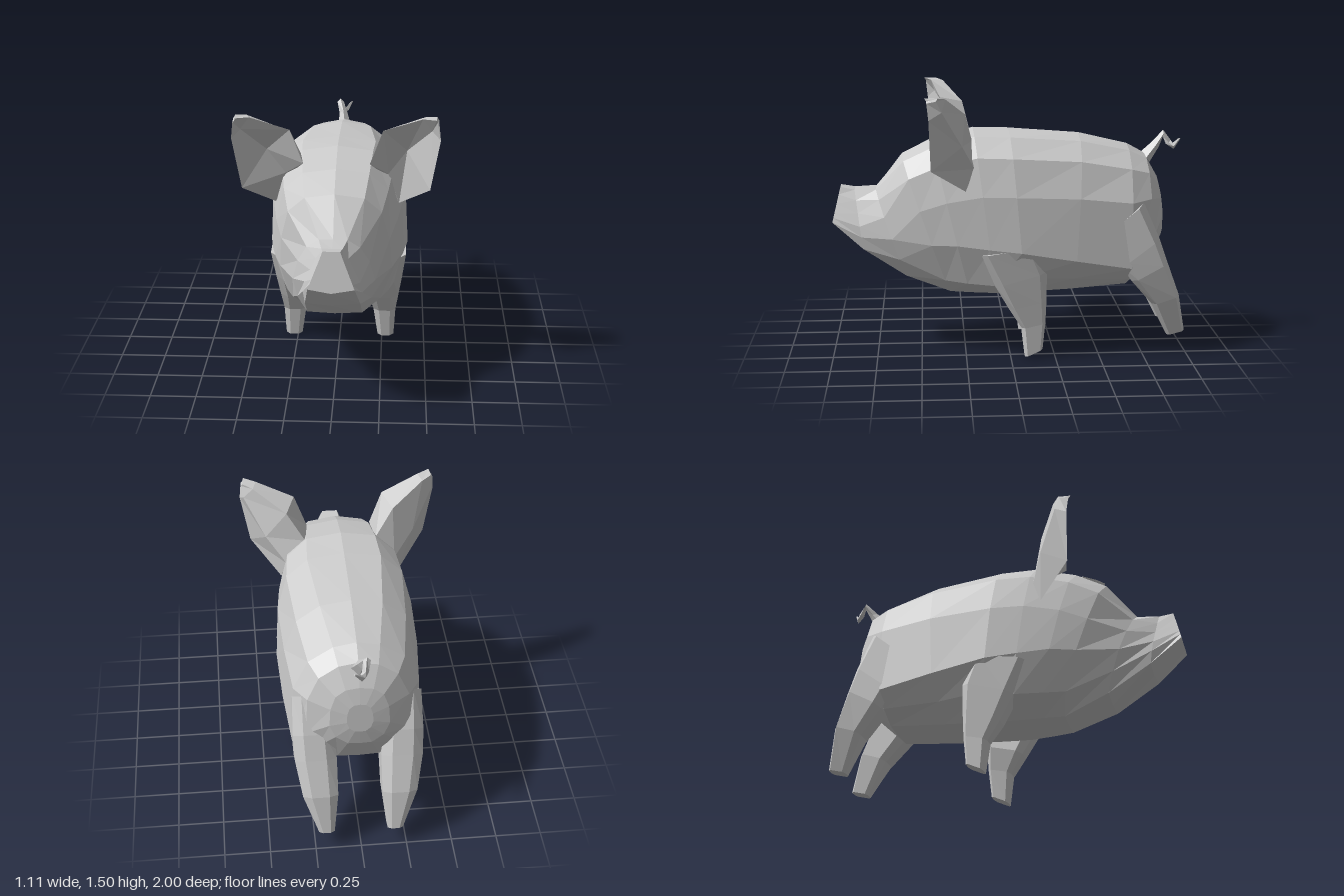
import * as THREE from 'three';

const material = new THREE.MeshStandardMaterial({ color: 0xcccccc, flatShading: true });

// Skin a list of equal-length rings of [x, y, z] points and close both ends.
function loft(name, rings) {
  const n = rings[0].length;
  const out = [];
  const centre = (r) => [0, 1, 2].map((k) => r.reduce((s, p) => s + p[k], 0) / n);
  const first = rings[0], last = rings[rings.length - 1];
  const c0 = centre(first), c1 = centre(last);
  for (let j = 0; j < n; j++) {
    const k = (j + 1) % n;
    for (let i = 0; i < rings.length - 1; i++) {
      const a = rings[i], b = rings[i + 1];
      out.push(a[j], a[k], b[j], a[k], b[k], b[j]);
    }
    out.push(c0, first[k], first[j], c1, last[j], last[k]);
  }
  const g = new THREE.BufferGeometry();
  g.setAttribute('position', new THREE.Float32BufferAttribute(out.flat(), 3));
  g.computeVertexNormals();
  const mesh = new THREE.Mesh(g, material);
  mesh.name = name;
  return mesh;
}

const mirror = (rings) => rings.map((r) => r.map(([x, y, z]) => [-x, y, z]).reverse());

// Full ring from a half outline running top to bottom; z slants from zTop to zBot.
function bodyRing(half, zTop, zBot) {
  const yT = half[0][1], yB = half[half.length - 1][1];
  const right = half.map(([x, y]) => [x, y, zBot + (zTop - zBot) * (y - yB) / (yT - yB)]);
  const left = right.slice(1, -1).reverse().map(([x, y, z]) => [-x, y, z]);
  return [...right, ...left];
}

function body() {
  // Snout and face
  const rings = [
    bodyRing([[0, 0.94], [0.045, 0.94], [0.06, 0.9], [0.08, 0.85], [0.1, 0.8], [0.11, 0.775], [0.12, 0.75], [0, 0.73]], 0.95, 1.0),
    bodyRing([[0, 0.925], [0.055, 0.925], [0.085, 0.87], [0.115, 0.8], [0.145, 0.73], [0.155, 0.67], [0.145, 0.6], [0, 0.585]], 0.87, 0.82),
    bodyRing([[0, 0.93], [0.075, 0.928], [0.14, 0.88], [0.19, 0.79], [0.22, 0.67], [0.2, 0.55], [0.15, 0.445], [0, 0.435]], 0.75, 0.58),
  ];
  // zTop, yTop, zBottom, yBottom, half width, back narrowing, then as
  // fractions: height of the widest point, lower side x and y
  const sections = [
    [0.6, 1.125, 0.33, 0.335, 0.305, 1, 0.4, 0.8, 0.13],
    [0.43, 1.21, 0.22, 0.33, 0.345, 1, 0.37, 0.82, 0.11],
    [0.2, 1.27, 0.08, 0.325, 0.375, 1, 0.33, 0.85, 0.1],
    [0, 1.265, -0.08, 0.33, 0.395, 1, 0.31, 0.78, 0.14],
    [-0.4, 1.235, -0.35, 0.345, 0.38, 1.25, 0.25, 0.7, 0.11],
    [-0.68, 1.17, -0.67, 0.37, 0.35, 1.6, 0.18, 0.75, 0.08],
    [-0.78, 1.115, -0.81, 0.5, 0.28, 1.5, 0.28, 0.8, 0.12],
    [-0.845, 1.0, -0.88, 0.65, 0.16, 1.2, 0.35, 0.8, 0.14],
    [-0.872, 0.91, -0.89, 0.74, 0.07, 1.2, 0.35, 0.8, 0.14],
  ];
  for (const [zT, yT, zB, yB, w, p, wy, lx, ly] of sections) {
    const outline = [[0, 1], [0.52 ** p, 0.97], [0.82 ** p, 0.86], [0.96, 0.64], [1, wy], [lx, ly], [Math.min(0.4, 0.15 / w), 0.01], [0, 0]];
    rings.push(bodyRing(outline.map(([x, y]) => [x * w, yB + y * (yT - yB)]), zT, zB));
  }
  return loft('body', rings);
}

// Leg rings: inner x, outer x, front z and y, back z and y, with chamfered corners.
function legRings(sections) {
  const corners = [[1, -0.7], [1, 0.7], [0.5, 1], [-0.5, 1], [-1, 0.7], [-1, -0.7], [-0.5, -1], [0.5, -1]];
  return sections.map(([x0, x1, zf, yf, zb, yb]) => corners.map(([u, v]) => {
    const t = (1 - v) / 2;
    return [(x0 + x1) / 2 + u * (x1 - x0) / 2, yf + (yb - yf) * t, zf + (zb - zf) * t];
  }));
}

function pair(group, name, rings) {
  group.add(loft(name + 'Left', rings), loft(name + 'Right', mirror(rings)));
}

export function createModel() {
  const group = new THREE.Group();
  group.name = 'pig';
  group.add(body());

  pair(group, 'frontLeg', legRings([
    [0.2, 0.385, 0.18, 0.6, -0.14, 0.65],
    [0.18, 0.365, 0.09, 0.42, -0.2, 0.5],
    [0.17, 0.345, 0.01, 0.28, -0.2, 0.33],
    [0.2, 0.33, -0.06, 0.17, -0.195, 0.2],
    [0.225, 0.32, -0.08, 0.0, -0.18, 0.045],
  ]));

  pair(group, 'hindLeg', legRings([
    [0.15, 0.345, -0.52, 0.7, -0.74, 0.88],
    [0.13, 0.35, -0.62, 0.52, -0.83, 0.68],
    [0.12, 0.345, -0.68, 0.43, -0.88, 0.54],
    [0.12, 0.31, -0.8, 0.29, -0.955, 0.34],
    [0.145, 0.23, -0.9, 0.09, -1.0, 0.115],
  ]));

  // Ears: each ring is upper front, hollow, lower front, lower back, upper back
  pair(group, 'ear', [
    [[0.18, 1.22, 0.37], [0.28, 1.14, 0.29], [0.34, 0.96, 0.25], [0.31, 1.08, 0.2], [0.2, 1.22, 0.21]],
    [[0.25, 1.41, 0.38], [0.38, 1.28, 0.31], [0.505, 1.1, 0.44], [0.42, 1.22, 0.27], [0.3, 1.38, 0.25]],
    [[0.46, 1.49, 0.43], [0.51, 1.42, 0.41], [0.555, 1.38, 0.45], [0.535, 1.42, 0.38], [0.48, 1.485, 0.36]],
    [[0.53, 1.495, 0.47], [0.535, 1.48, 0.46], [0.545, 1.47, 0.46], [0.545, 1.48, 0.41], [0.535, 1.495, 0.4]],
  ]);

  // Tail: centre x, y, z, radius, heading angle above straight back
  const tail = [
    [0, 1.09, -0.79, 0.04, 0.7],
    [-0.01, 1.16, -0.85, 0.025, 0.8],
    [-0.03, 1.22, -0.895, 0.02, 0],
    [-0.02, 1.17, -0.925, 0.018, -0.9],
    [0, 1.15, -0.95, 0.018, 0.2],
    [0.04, 1.2, -0.98, 0.005, 1],
  ];
  group.add(loft('tail', tail.map(([x, y, z, r, t]) =>
    [[0, 1], [1, 0], [0, -1], [-1, 0]].map(([u, v]) =>
      [x + u * r, y + v * r * Math.cos(t), z + v * r * Math.sin(t)]))));
  return group;
}
